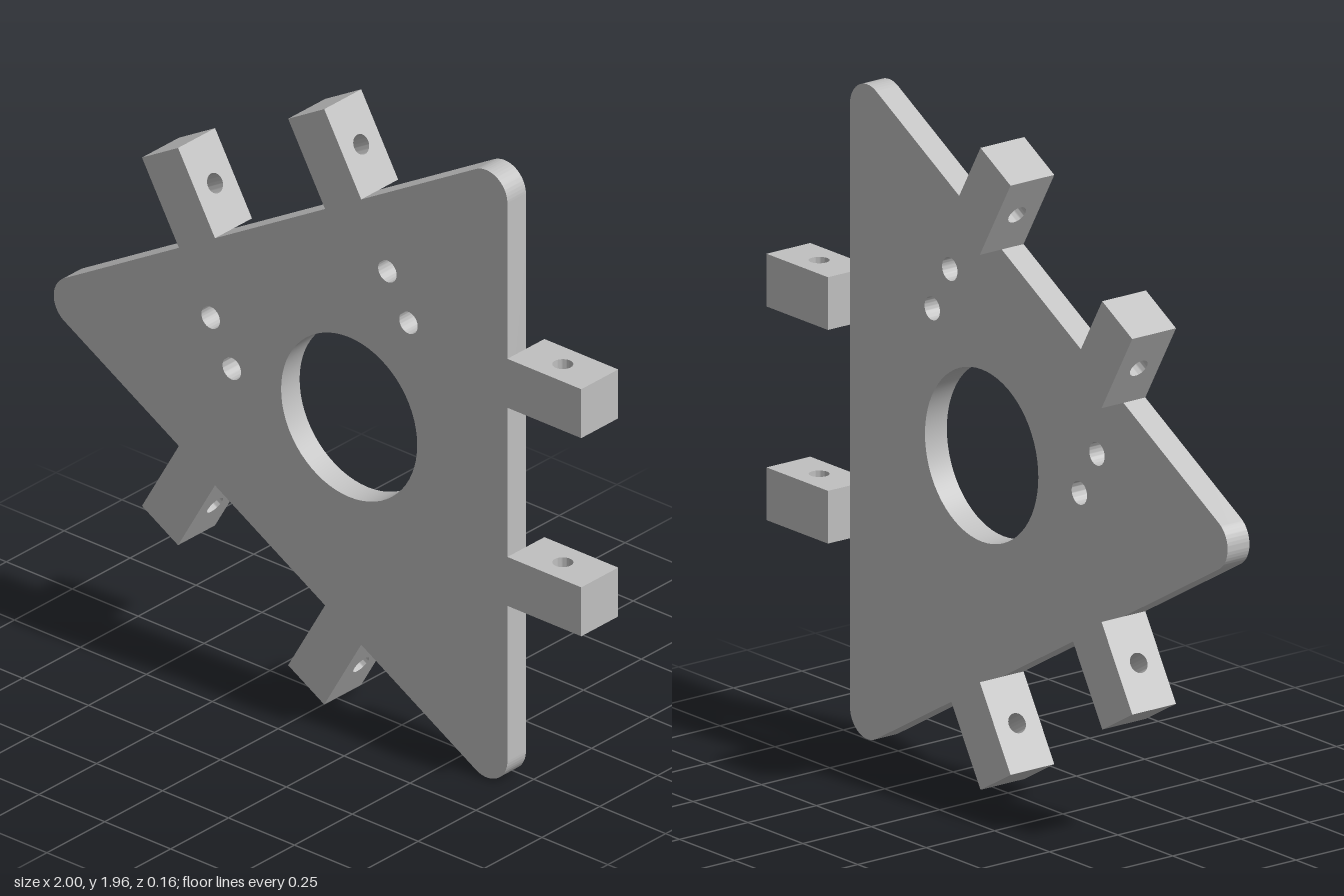
import * as THREE from 'three';
import { toCreasedNormals } from 'three/addons/utils/BufferGeometryUtils.js';

const CX = 0.12, CY = 0.983;   // centre of the triangle
const THICK = 0.08;            // plate thickness
const CORNER_DIST = 1.04, CORNER_R = 0.08;
const LUG_W = 0.158, LUG_L = 0.28, LUG_X = 0.6, LUG_Y = 0.32;

// Extrude a shape and keep round walls smooth and edges sharp
function extrude(shape, depth) {
  const g = new THREE.ExtrudeGeometry(shape, { depth, bevelEnabled: false, curveSegments: 32 });
  return toCreasedNormals(g, 0.6);
}

function addHole(shape, x, y, r) {
  const hole = new THREE.Path();
  hole.absarc(x, y, r, 0, Math.PI * 2, true);
  shape.holes.push(hole);
}

export function createModel() {
  const model = new THREE.Group();
  model.name = 'triangularBracket';
  const metal = new THREE.MeshStandardMaterial({ color: 0xc0c0c0 });
  metal.name = 'greyMetal';

  // Triangular plate with rounded corners
  const outline = new THREE.Shape();
  for (let i = 0; i < 3; i++) {
    const a = Math.PI / 3 + i * Math.PI * 2 / 3;
    outline.absarc(CORNER_DIST * Math.cos(a), CORNER_DIST * Math.sin(a), CORNER_R,
      a - Math.PI / 3, a + Math.PI / 3, false);
  }
  outline.closePath();

  // Central opening and two pairs of bolt holes
  addHole(outline, 0, 0, 0.258);
  for (const [x, y] of [[0.145, 0.522], [0.225, 0.384], [-0.525, 0.137], [-0.445, 0]]) {
    addHole(outline, x, y, 0.035);
  }
  const plate = new THREE.Mesh(extrude(outline, THICK), metal);
  plate.name = 'plate';
  plate.position.set(CX, CY, 0);
  model.add(plate);

  // Square lug with a cross-drilled pin hole
  const section = new THREE.Shape();
  section.moveTo(0, -THICK);
  section.lineTo(LUG_L, -THICK);
  section.lineTo(LUG_L, THICK);
  section.lineTo(0, THICK);
  section.closePath();
  addHole(section, LUG_L / 2, 0, 0.03);
  const lugGeometry = extrude(section, LUG_W);
  lugGeometry.translate(0, 0, -LUG_W / 2);
  lugGeometry.rotateX(-Math.PI / 2);

  // A pair of lugs on each side of the triangle
  for (let i = 0; i < 3; i++) {
    const pair = new THREE.Group();
    pair.name = `lugPair${i + 1}`;
    pair.position.set(CX, CY, 0);
    pair.rotation.z = i * Math.PI * 2 / 3;
    for (const side of [-1, 1]) {
      const lug = new THREE.Mesh(lugGeometry, metal);
      lug.name = side < 0 ? 'lowerLug' : 'upperLug';
      lug.position.set(LUG_X, side * LUG_Y, 0);
      pair.add(lug);
    }
    model.add(pair);
  }
  return model;
}
